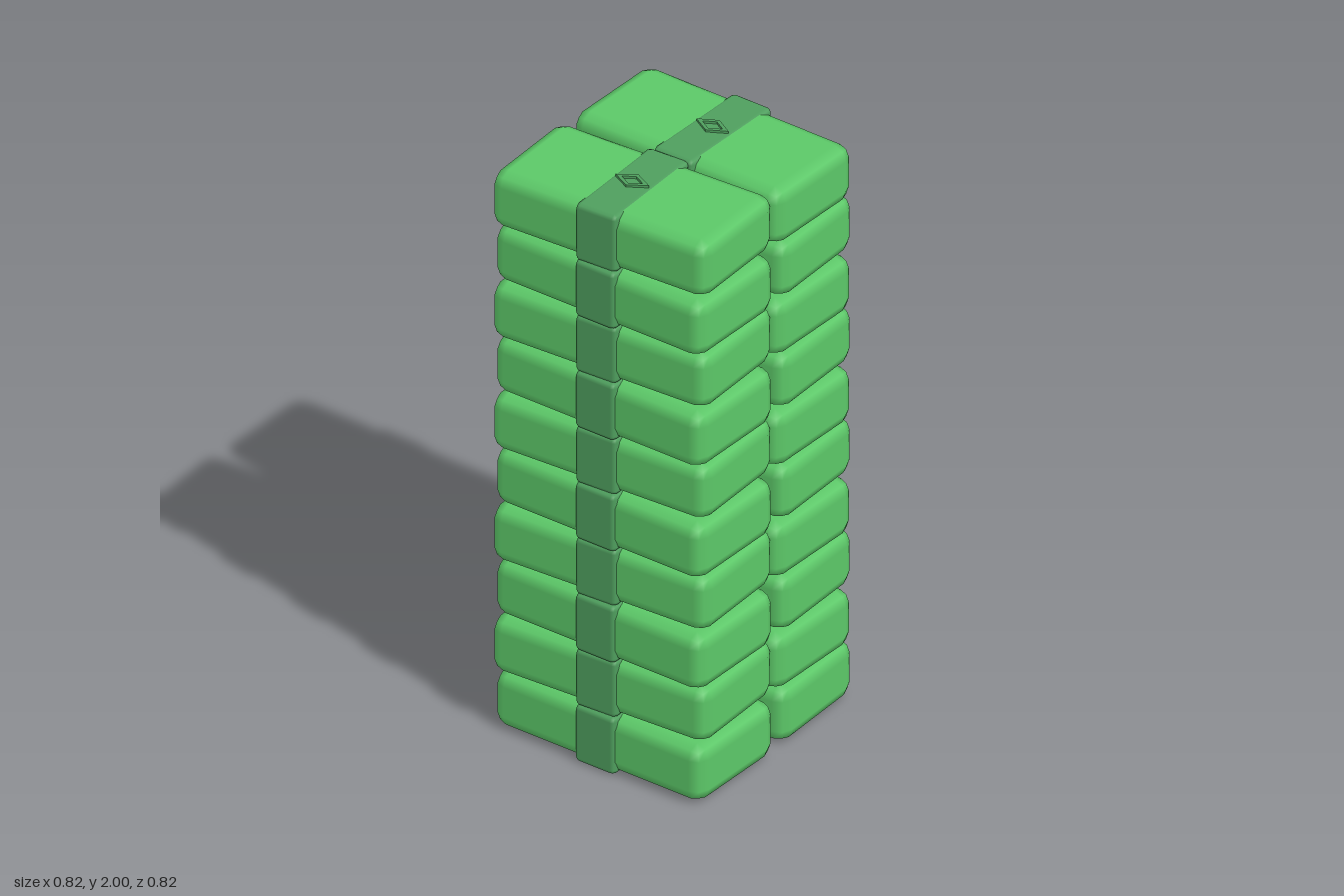
import * as THREE from 'three';
import { RoundedBoxGeometry } from 'three/addons/geometries/RoundedBoxGeometry.js';

const LAYERS = 10;
const PITCH = 0.199;

export function createModel() {
  const model = new THREE.Group();
  model.name = 'bundleStack';

  const noteGreen = new THREE.MeshStandardMaterial({ color: 0x5cc868 });
  noteGreen.name = 'noteGreen';
  const bandGreen = new THREE.MeshStandardMaterial({ color: 0x4f9f5e });
  bandGreen.name = 'bandGreen';

  // Soft chamfered block and the wrapper strip around its middle
  const blockGeo = new RoundedBoxGeometry(0.386, 0.196, 0.796, 1, 0.045);
  const bandGeo = new RoundedBoxGeometry(0.404, 0.202, 0.152, 1, 0.016);

  // Plain lozenge ornament for the top wrappers
  const lozenge = (Path, w, h) => {
    const p = new Path();
    p.moveTo(w, 0);
    p.lineTo(0, h);
    p.lineTo(-w, 0);
    p.lineTo(0, -h);
    p.closePath();
    return p;
  };
  const outline = lozenge(THREE.Shape, 0.035, 0.062);
  outline.holes.push(lozenge(THREE.Path, 0.022, 0.039));
  const ornamentGeo = new THREE.ExtrudeGeometry(outline, { depth: 0.009, bevelEnabled: false });
  ornamentGeo.rotateX(-Math.PI / 2);

  // Two bundles per layer, twisted the opposite way on every other layer
  for (let i = 0; i < LAYERS; i++) {
    const odd = i % 2 === 1;
    const twist = odd ? 0.03 : -0.024;
    for (const side of [-1, 1]) {
      const bundle = new THREE.Group();
      bundle.name = `bundle${i + 1}${side > 0 ? 'Left' : 'Right'}`;
      const block = new THREE.Mesh(blockGeo, noteGreen);
      block.name = 'block';
      const band = new THREE.Mesh(bandGeo, bandGreen);
      band.name = 'band';
      bundle.add(block, band);
      if (i === LAYERS - 1) {
        const ornament = new THREE.Mesh(ornamentGeo, bandGreen);
        ornament.name = 'ornament';
        ornament.position.y = 0.1;
        bundle.add(ornament);
      }
      const z = odd ? (side > 0 ? 0.004 : -0.008) : -0.003 * side;
      bundle.position.set(side * (odd ? 0.2 : 0.206), 0.1 + i * PITCH, z);
      bundle.rotation.y = -side * twist;
      model.add(bundle);
    }
  }
  return model;
}
